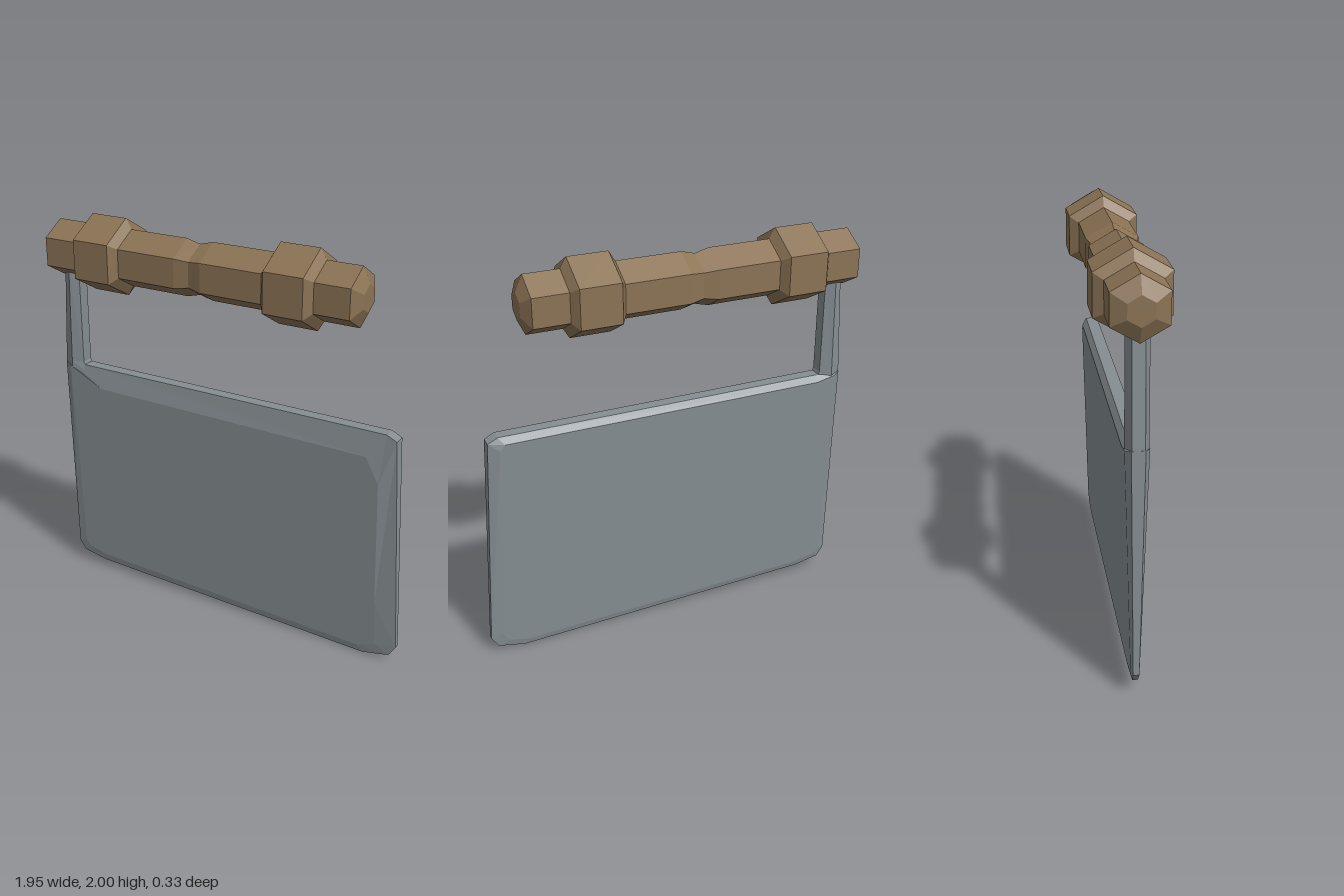
import * as THREE from 'three';

// Flat normals for crisp low-poly facets
function faceted(geometry) {
  const flat = geometry.index ? geometry.toNonIndexed() : geometry;
  flat.computeVertexNormals();
  return flat;
}

// Joins equal-length closed rings of points with quads, optionally capping both ends
function loft(rings, capped) {
  const n = rings[0].length;
  const index = [];
  for (let r = 0; r < rings.length - 1; r++) {
    for (let i = 0; i < n; i++) {
      const j = (i + 1) % n;
      const a = r * n + i, b = a + n, c = (r + 1) * n + j, d = r * n + j;
      index.push(a, b, c, a, c, d);
    }
  }
  if (capped) {
    const cap = (ring, offset, flip) => {
      const contour = ring.map(([x, y]) => new THREE.Vector2(x, y));
      for (const [a, b, c] of THREE.ShapeUtils.triangulateShape(contour, [])) {
        index.push(offset + a, offset + (flip ? c : b), offset + (flip ? b : c));
      }
    };
    cap(rings[0], 0, false);
    cap(rings[rings.length - 1], (rings.length - 1) * n, true);
  }
  const geometry = new THREE.BufferGeometry();
  geometry.setAttribute('position', new THREE.Float32BufferAttribute(rings.flat(2), 3));
  geometry.setIndex(index);
  return faceted(geometry);
}

export function createModel() {
  const model = new THREE.Group();
  const wood = new THREE.MeshStandardMaterial({ name: 'wood', color: 0x8b7355 });
  const steel = new THREE.MeshStandardMaterial({ name: 'steel', color: 0x868e92 });

  const add = (name, geometry, material) => {
    const mesh = new THREE.Mesh(geometry, material);
    mesh.name = name;
    model.add(mesh);
    return mesh;
  };

  // Hexagonal parts turned along x, from [x, radius] profiles
  const turned = (name, profile) => {
    const points = profile.map(([x, r]) => new THREE.Vector2(r, x));
    const geometry = new THREE.LatheGeometry(points, 6, Math.PI / 2);
    geometry.rotateZ(-Math.PI / 2);
    add(name, faceted(geometry), wood).position.y = 1.81;
  };

  // Handle bar with chamfered ends and a waist
  turned('handle', [
    [-0.975, 0], [-0.975, 0.065], [-0.94, 0.14], [-0.2, 0.14], [-0.13, 0.122],
    [-0.06, 0.14], [0.685, 0.14], [0.72, 0.065], [0.72, 0],
  ]);

  // Raised collars
  for (const [name, x] of [['rightCollar', -0.64], ['leftCollar', 0.385]]) {
    turned(name, [
      [x - 0.128, 0.13], [x - 0.128, 0.14], [x - 0.098, 0.19],
      [x + 0.098, 0.19], [x + 0.128, 0.14], [x + 0.128, 0.13],
    ]);
  }

  // Blade: outer rim, front face and broader back face, counter-clockwise
  const rim = [
    [-0.935, 1.21], [-0.935, 0.12], [-0.9, 0.07], [-0.77, 0.045], [0.8, 0.003],
    [0.935, 0.035], [0.97, 0.09], [0.905, 1.185], [0.855, 1.21], [-0.8, 1.21],
  ];
  const front = [
    [-0.89, 1.2], [-0.88, 0.14], [-0.86, 0.11], [-0.75, 0.085], [0.77, 0.04],
    [0.86, 0.08], [0.85, 0.32], [0.835, 0.96], [0.77, 1.088], [-0.7, 1.105],
  ];
  const back = [
    [-0.9, 1.2], [-0.9, 0.14], [-0.88, 0.1], [-0.76, 0.075], [0.78, 0.035],
    [0.88, 0.06], [0.91, 0.11], [0.855, 1.15], [0.83, 1.178], [-0.8, 1.178],
  ];
  // Thickness grows linearly with height
  const rimDepth = (y) => 0.012 + 0.015 * y;
  const faceDepth = (y) => 0.018 + 0.03 * y;
  add('blade', loft([
    front.map(([x, y]) => [x, y, faceDepth(y)]),
    rim.map(([x, y]) => [x, y, rimDepth(y)]),
    rim.map(([x, y]) => [x, y, -rimDepth(y)]),
    back.map(([x, y]) => [x, y, -faceDepth(y)]),
  ], true), steel);

  // Tang: tapering six-sided bar joining blade and handle
  const tangRing = (y, inner, ridge, outer) => [
    [inner, y, 0.03], [inner, y, -0.03], [ridge, y, -0.052],
    [outer, y, -0.028], [outer, y, 0.028], [ridge, y, 0.052],
  ];
  add('tang', loft([
    tangRing(1.71, -0.82, -0.865, -0.905),
    tangRing(1.225, -0.822, -0.88, -0.934),
    tangRing(1.17, -0.8, -0.88, -0.934),
  ], false), steel);

  return model;
}
